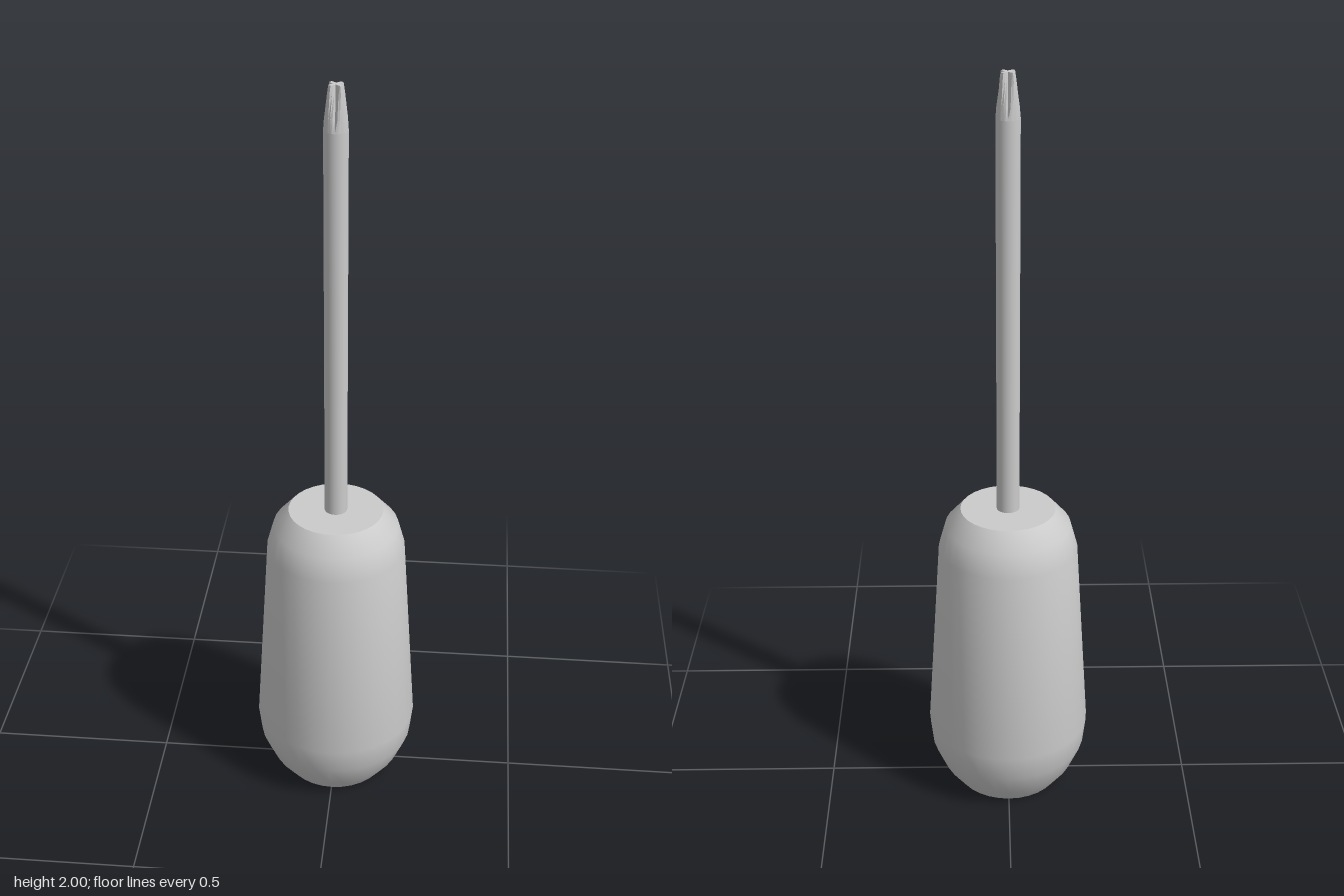
import * as THREE from 'three';
import { toCreasedNormals } from 'three/addons/utils/BufferGeometryUtils.js';

const SHAFT_RADIUS = 0.03;
const SHAFT_TOP = 1.89;
const SIDES = 32;

export function createModel() {
  const group = new THREE.Group();
  const material = new THREE.MeshStandardMaterial({ color: 0xcccccc });
  const add = (name, geometry) => {
    const mesh = new THREE.Mesh(geometry, material);
    mesh.name = name;
    group.add(mesh);
    return mesh;
  };

  // Handle: turned grip, wider near the butt, flat at both ends
  const profile = [
    [0, 0], [0.145, 0], [0.182, 0.05], [0.212, 0.12], [0.22, 0.19],
    [0.185, 0.735], [0.167, 0.8], [0.126, 0.847], [0, 0.847],
  ].map(([r, y]) => new THREE.Vector2(r, y));
  add('handle', toCreasedNormals(new THREE.LatheGeometry(profile, SIDES), 0.7));

  // Shaft: round rod sunk a little into the handle
  const bottom = 0.8;
  const shaft = add('shaft', new THREE.CylinderGeometry(
    SHAFT_RADIUS, SHAFT_RADIUS, SHAFT_TOP - bottom, SIDES, 1, true));
  shaft.position.y = (SHAFT_TOP + bottom) / 2;

  add('crossTip', createTip());
  return group;
}

// Tip: the round section narrows to a cross with its arms on the diagonals
function createTip() {
  const rings = [ // height, arm radius, half width of an arm
    [SHAFT_TOP, SHAFT_RADIUS, 0.03],
    [1.92, 0.029, 0.0155],
    [1.98, 0.0235, 0.0075],
    [2.0, 0.02, 0.005],
  ];
  const positions = [];
  const indices = [];
  for (const [y, radius, halfWidth] of rings) {
    for (let i = 0; i < SIDES; i++) {
      const a = (i / SIDES) * Math.PI * 2;
      // Angle away from the nearest diagonal arm
      const off = Math.abs((a % (Math.PI / 2)) - Math.PI / 4);
      const r = Math.min(radius, halfWidth / Math.max(Math.sin(off), 0.01));
      positions.push(r * Math.sin(a), y, r * Math.cos(a));
    }
  }
  for (let k = 0; k < rings.length - 1; k++) {
    for (let i = 0; i < SIDES; i++) {
      const j = (i + 1) % SIDES;
      const a = k * SIDES + i, b = k * SIDES + j;
      indices.push(a, b, b + SIDES, a, b + SIDES, a + SIDES);
    }
  }
  // Flat end cap
  const last = (rings.length - 1) * SIDES;
  const centre = positions.length / 3;
  positions.push(0, 2, 0);
  for (let i = 0; i < SIDES; i++) {
    indices.push(centre, last + i, last + ((i + 1) % SIDES));
  }
  const geometry = new THREE.BufferGeometry();
  geometry.setAttribute('position', new THREE.Float32BufferAttribute(positions, 3));
  geometry.setIndex(indices);
  return toCreasedNormals(geometry, 0.5);
}
